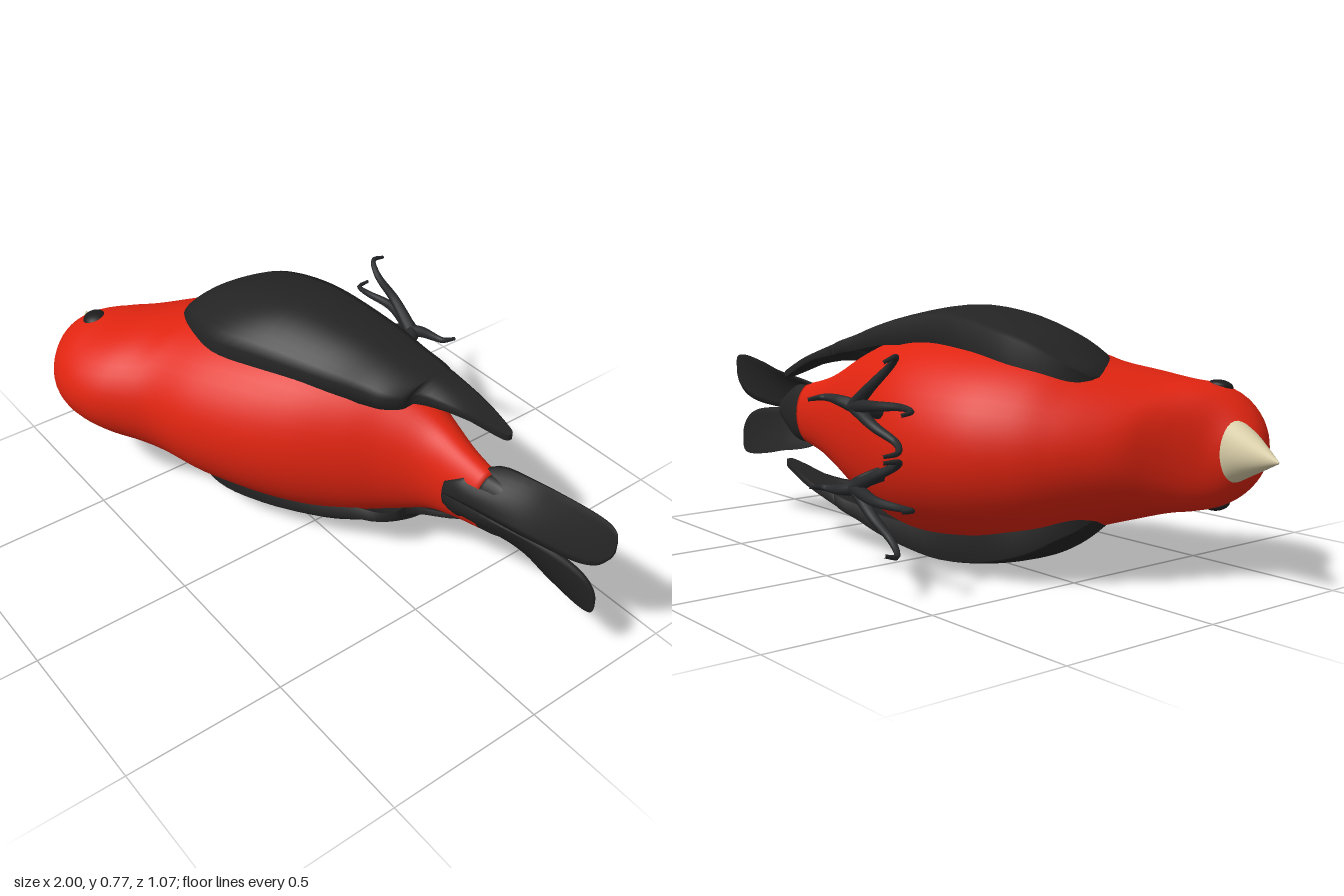
import * as THREE from 'three';

// The bird lies on its side: beak toward -x, back toward +z, its width along y.
const MID = 0.383;

// Catmull-Rom smoothing of rows of numbers
function smooth(rows, steps) {
  const out = [], at = i => rows[Math.min(rows.length - 1, Math.max(0, i))];
  for (let i = 0; i < rows.length - 1; i++) {
    for (let s = 0; s < steps; s++) {
      const t = s / steps, a = at(i - 1), b = at(i), c = at(i + 1), d = at(i + 2);
      out.push(b.map((_, k) => 0.5 * (2 * b[k] + (c[k] - a[k]) * t
        + (2 * a[k] - 5 * b[k] + 4 * c[k] - d[k]) * t * t
        + (3 * b[k] - a[k] - 3 * c[k] + d[k]) * t * t * t)));
    }
  }
  out.push(rows[rows.length - 1]);
  return out;
}

// Closed skin through rings of [x, y, z], faced outward
function loft(rings) {
  const n = rings[0].length, pos = rings.flat(2), idx = [];
  for (let r = 0; r < rings.length - 1; r++) {
    for (let i = 0; i < n; i++) {
      const a = r * n + i, b = r * n + (i + 1) % n;
      idx.push(a, b, a + n, b, b + n, a + n);
    }
  }
  [0, rings.length - 1].forEach((r, end) => {
    const c = pos.length / 3;
    for (let k = 0; k < 3; k++) pos.push(rings[r].reduce((s, p) => s + p[k], 0) / n);
    for (let i = 0; i < n; i++) {
      const a = r * n + i, b = r * n + (i + 1) % n;
      if (end) idx.push(a, b, c); else idx.push(b, a, c);
    }
  });
  const P = i => new THREE.Vector3(pos[3 * i], pos[3 * i + 1] - MID, pos[3 * i + 2]);
  let volume = 0;
  for (let i = 0; i < idx.length; i += 3) volume += P(idx[i]).dot(P(idx[i + 1]).cross(P(idx[i + 2])));
  if (volume < 0) idx.reverse();
  const g = new THREE.BufferGeometry();
  g.setAttribute('position', new THREE.Float32BufferAttribute(pos, 3));
  g.setIndex(idx);
  g.computeVertexNormals();
  return g;
}

// Oval rings from rows of [back x, back z, belly x, belly z, half width]
function ovals(rows, steps, n = 48) {
  return loft(smooth(rows, steps).map(([tx, tz, bx, bz, w]) =>
    Array.from({ length: n }, (_, i) => {
      const a = i / n * Math.PI * 2, c = Math.cos(a);
      return [(tx + bx) / 2 + (tx - bx) / 2 * c, MID + w * Math.sin(a), (tz + bz) / 2 + (tz - bz) / 2 * c];
    })));
}

// Wing shell from rows of [x, low z, high z, outward reach]
function wing(side) {
  const rows = [
    [-0.56, 0, 0.03, 0.2], [-0.545, -0.045, 0.065, 0.225], [-0.51, -0.09, 0.125, 0.255],
    [-0.45, -0.135, 0.17, 0.3], [-0.37, -0.17, 0.2, 0.335], [-0.24, -0.19, 0.21, 0.37],
    [-0.1, -0.205, 0.16, 0.382], [0.08, -0.24, 0.065, 0.345], [0.19, -0.265, -0.01, 0.3],
    [0.25, -0.28, -0.045, 0.277], [0.285, -0.285, -0.095, 0.26], [0.295, -0.288, -0.15, 0.256],
    [0.4, -0.308, -0.213, 0.21], [0.5, -0.32, -0.28, 0.16], [0.52, -0.312, -0.3, 0.152]];
  const n = 14;
  return loft(smooth(rows, 4).map(([x, lo, hi, reach]) => {
    const thick = THREE.MathUtils.clamp(0.12 - (x + 0.3) * 0.15, 0.02, 0.12);
    const curl = Math.max(0, reach - 0.2);
    const outer = [], inner = [];
    for (let i = 0; i <= n; i++) {
      const v = i / n;
      const drop = v > 0.45 ? 0.55 * ((v - 0.45) / 0.55) ** 2 : 0.15 * ((0.45 - v) / 0.45) ** 2;
      const l = reach - curl * drop, z = lo + (hi - lo) * v;
      outer.push([x, MID + side * l, z]);
      inner.unshift([x, MID + side * (l - thick), z]);
    }
    return [...outer, ...inner];
  }));
}

// One sloping half of the tail from rows of [x, inner, outer, ridge z, edge z, bulge, thickness]
function tailHalf(side, length) {
  const rows = [
    [0.465, 0, 0.04, -0.103, -0.11, 0.002, 0.03], [0.51, 0, 0.07, -0.113, -0.13, 0.008, 0.04],
    [0.57, 0, 0.112, -0.126, -0.205, 0.03, 0.05], [0.7, 0, 0.135, -0.15, -0.228, 0.012, 0.025],
    [0.8, 0.002, 0.155, -0.172, -0.228, 0.008, 0.018], [0.9, 0.012, 0.17, -0.19, -0.228, 0.006, 0.014],
    [0.96, 0.035, 0.172, -0.203, -0.228, 0.003, 0.012], [0.99, 0.07, 0.16, -0.213, -0.227, 0.001, 0.01],
    [1, 0.1, 0.135, -0.218, -0.225, 0, 0.008]];
  const n = 8;
  return loft(smooth(rows, 4).map(([x, a, b, ridge, edge, bulge, thick]) => {
    const top = [], under = [], px = 0.465 + (x - 0.465) * length;
    for (let i = 0; i <= n; i++) {
      const v = i / n, y = MID + side * (a + (b - a) * v);
      const z = ridge + (edge - ridge) * v + bulge * 4 * v * (1 - v);
      top.push([px, y, z]);
      under.unshift([px, y, z - thick * (1 - 0.7 * v)]);
    }
    return [...top, ...under];
  }));
}

// Tapered tube through points of [x, z, sideways distance]
function limb(points, side, r0, r1) {
  const curve = new THREE.CatmullRomCurve3(points.map(([x, z, l]) => new THREE.Vector3(x, MID + side * l, z)));
  const segs = 20, round = 10, g = new THREE.TubeGeometry(curve, segs, r0, round);
  const p = g.attributes.position, v = new THREE.Vector3();
  for (let i = 0; i < p.count; i++) {
    const t = Math.floor(i / (round + 1)) / segs, c = curve.getPointAt(t);
    v.fromBufferAttribute(p, i).sub(c).multiplyScalar(1 + (r1 / r0 - 1) * t).add(c);
    p.setXYZ(i, v.x, v.y, v.z);
  }
  return g;
}

export function createModel() {
  const model = new THREE.Group();
  model.name = 'bird';
  const paint = (name, color) => Object.assign(new THREE.MeshStandardMaterial({ color }), { name });
  const red = paint('red plumage', 0xdf2410), black = paint('black feathers', 0x242424);
  const horn = paint('pale beak', 0xd6cba6), skin = paint('dark legs', 0x26282a);
  const eyeMat = paint('dark eye', 0x1c1c1c);
  const add = (name, geometry, material, parent = model) => {
    const m = new THREE.Mesh(geometry, material);
    m.name = name;
    parent.add(m);
    return m;
  };

  // Head and body in one skin
  add('body', ovals([
    [-0.865, 0.345, -0.8, 0.25, 0.06], [-0.84, 0.41, -0.765, 0.21, 0.115],
    [-0.78, 0.475, -0.73, 0.14, 0.16], [-0.7, 0.52, -0.705, 0.07, 0.18],
    [-0.6, 0.53, -0.68, -0.01, 0.19], [-0.5, 0.5, -0.64, -0.085, 0.21],
    [-0.41, 0.44, -0.58, -0.17, 0.235], [-0.34, 0.395, -0.5, -0.255, 0.27],
    [-0.2, 0.35, -0.38, -0.335, 0.295], [-0.05, 0.275, -0.22, -0.38, 0.305],
    [0.08, 0.185, -0.07, -0.385, 0.3], [0.19, 0.08, 0.08, -0.35, 0.27],
    [0.28, -0.015, 0.22, -0.315, 0.22], [0.37, -0.085, 0.36, -0.28, 0.16],
    [0.46, -0.11, 0.47, -0.255, 0.125], [0.57, -0.13, 0.58, -0.24, 0.1]], 5), red);

  add('beak', ovals([
    [-0.8, 0.35, -0.75, 0.252, 0.108], [-0.865, 0.345, -0.83, 0.247, 0.07],
    [-0.93, 0.3, -0.92, 0.243, 0.036], [-1, 0.244, -1, 0.239, 0.003]], 5, 32), horn);

  // Tail: a short root and two feather halves
  const tail = new THREE.Group();
  tail.name = 'tail';
  model.add(tail);
  add('tailRoot', ovals([
    [0.565, -0.129, 0.575, -0.24, 0.1], [0.64, -0.15, 0.64, -0.236, 0.09],
    [0.74, -0.18, 0.74, -0.21, 0.03]], 4, 32), black, tail);
  add('leftTailFeathers', tailHalf(1, 1), black, tail);
  add('rightTailFeathers', tailHalf(-1, 0.935), black, tail);

  for (const side of [1, -1]) {
    const label = side > 0 ? 'upper' : 'lower';
    add(label + 'Wing', wing(side), black);

    const eye = add(label + 'Eye', new THREE.SphereGeometry(0.037, 24, 16), eyeMat);
    eye.scale.y = 0.5;
    eye.position.set(-0.71, MID + side * 0.166, 0.35);
    eye.rotation.x = side * 0.2;

    // Leg, three front toes and a hind toe, each ending in a curved claw
    const leg = new THREE.Group();
    leg.name = label + 'Leg';
    model.add(leg);
    const ankle = [-0.1, -0.465, 0.115];
    add('shin', limb([[-0.095, -0.35, 0.085], [-0.085, -0.39, 0.095], [-0.07, -0.435, 0.112], ankle,
      [-0.13, -0.48, 0.115]], side, 0.023, 0.02), skin, leg);
    const toes = {
      outerToe: [[-0.2, -0.475, 0.18], [-0.27, -0.46, 0.24], [-0.32, -0.48, 0.268], [-0.335, -0.533, 0.255]],
      middleToe: [[-0.24, -0.492, 0.13], [-0.34, -0.475, 0.135], [-0.395, -0.485, 0.13], [-0.41, -0.533, 0.125]],
      innerToe: [[-0.2, -0.47, 0.07], [-0.28, -0.45, 0.03], [-0.32, -0.475, 0.012], [-0.33, -0.533, 0.008]],
      hindToe: [[-0.06, -0.478, 0.125], [-0.015, -0.483, 0.13], [0.018, -0.493, 0.13], [0.03, -0.535, 0.125]],
    };
    for (const [name, points] of Object.entries(toes)) add(name, limb([ankle, ...points], side, 0.021, 0.005), skin, leg);
  }
  return model;
}
